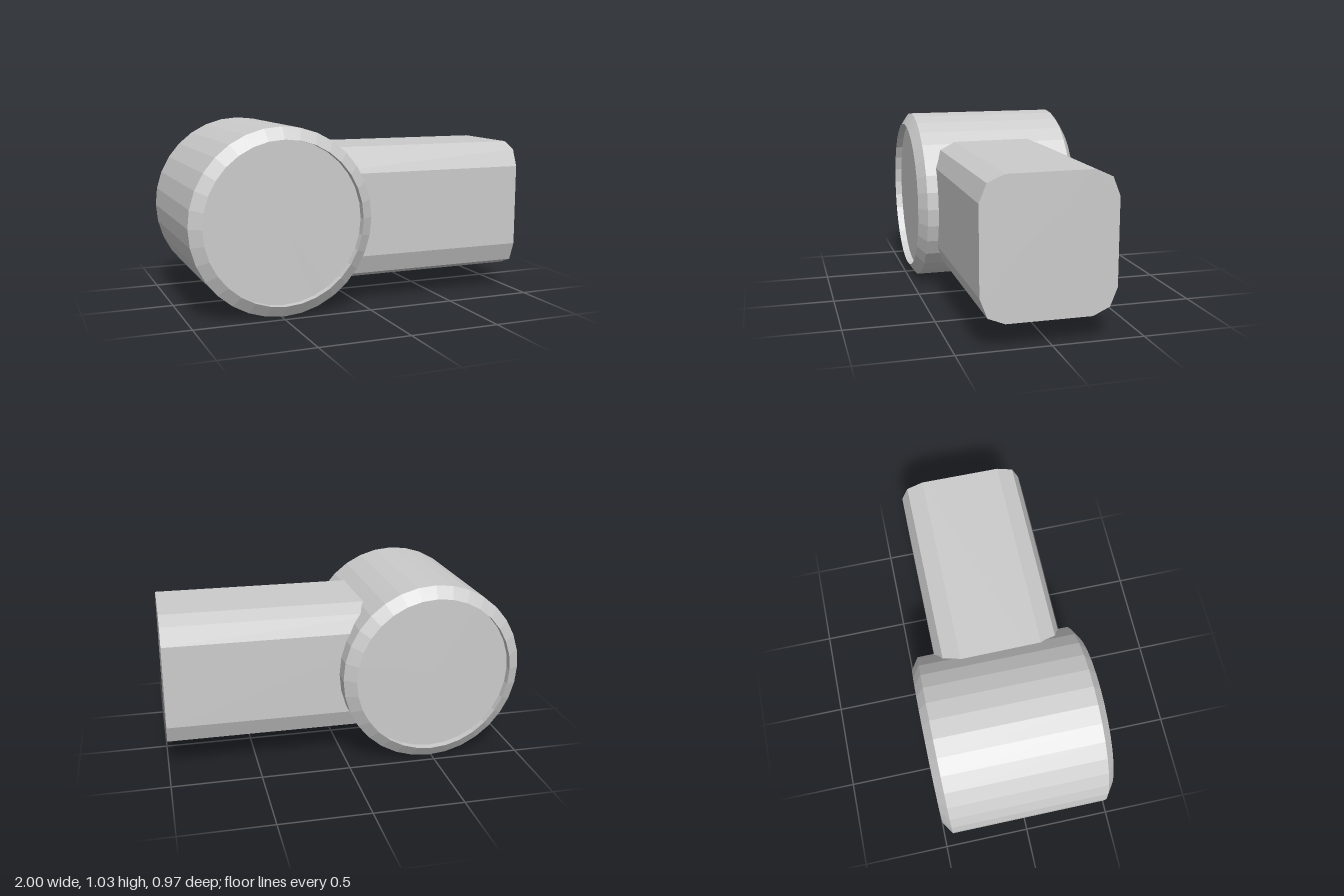
import * as THREE from 'three';

export function createModel() {
  const group = new THREE.Group();
  const material = new THREE.MeshStandardMaterial({ color: 0xcccccc, flatShading: true });

  // Cross drum along z, with bevelled rims and slightly recessed end faces
  const half = [[0, 0.445], [0.447, 0.445], [0.447, 0.487], [0.513, 0.442]];
  const profile = [
    ...half.map(([r, h]) => new THREE.Vector2(r, -h)),
    ...half.slice().reverse().map(([r, h]) => new THREE.Vector2(r, h)),
  ];
  const drumGeometry = new THREE.LatheGeometry(profile, 32);
  drumGeometry.rotateX(Math.PI / 2);
  const drum = new THREE.Mesh(drumGeometry, material);
  drum.name = 'drum';
  drum.position.set(-0.487, 0.52, 0);
  group.add(drum);

  // Square arm with rounded corners, as (z, y) corners of its section
  const section = [
    [0.245, 0.893], [-0.21, 0.896], [-0.305, 0.855], [-0.345, 0.755],
    [-0.345, 0.285], [-0.305, 0.185], [-0.215, 0.143], [0.245, 0.143],
    [0.336, 0.18], [0.376, 0.285], [0.378, 0.755], [0.338, 0.853],
  ];
  const shape = new THREE.Shape(section.map(([z, y]) => new THREE.Vector2(-z, y)));
  const start = -0.4;
  const armGeometry = new THREE.ExtrudeGeometry(shape, { depth: 1 - start, bevelEnabled: false });
  armGeometry.rotateY(Math.PI / 2);
  const arm = new THREE.Mesh(armGeometry, material);
  arm.name = 'arm';
  arm.position.x = start;
  group.add(arm);

  return group;
}
